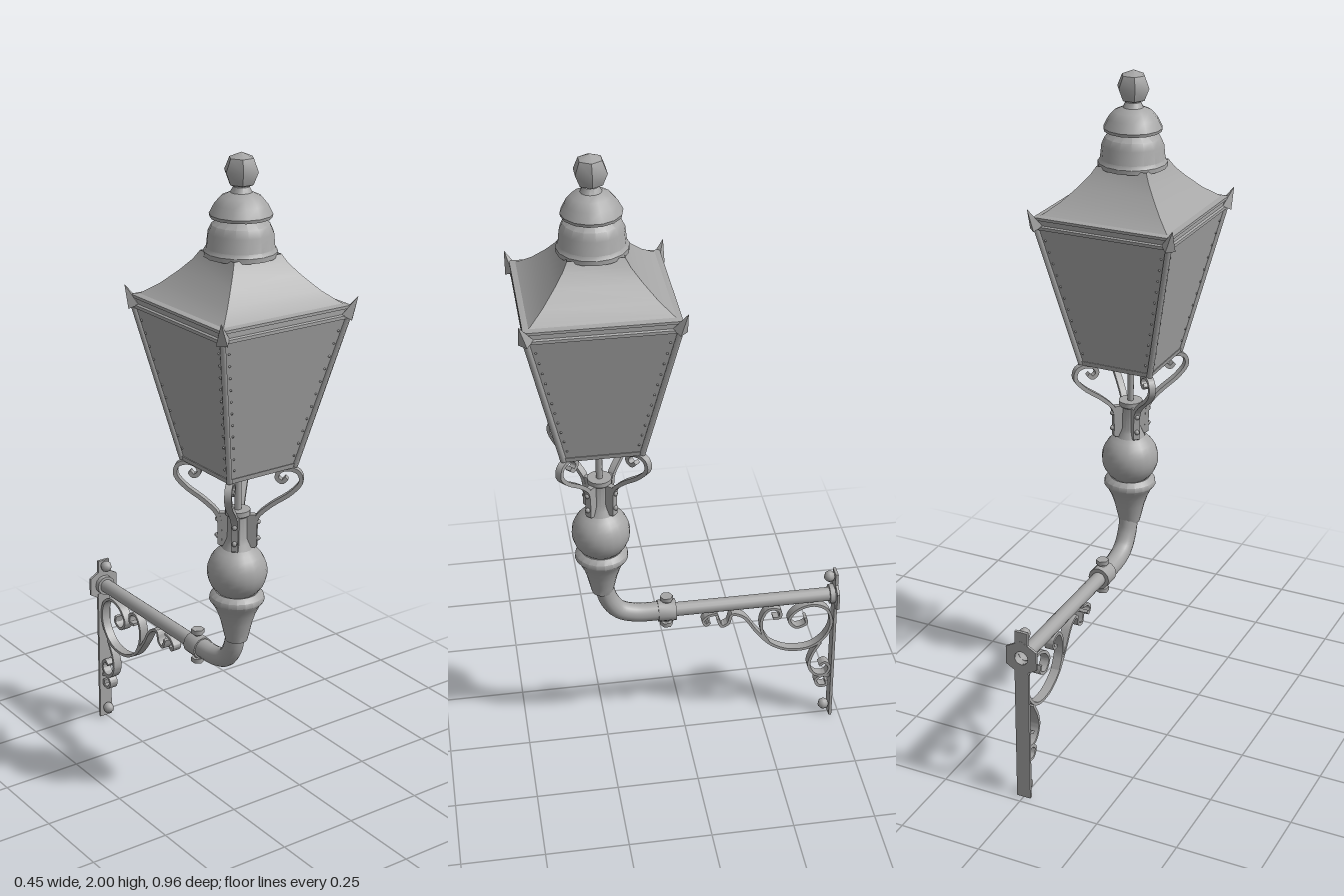
import * as THREE from 'three';
import { mergeGeometries, toCreasedNormals } from 'three/addons/utils/BufferGeometryUtils.js';

const iron = new THREE.MeshStandardMaterial({ color: 0xa6a6a6, side: THREE.DoubleSide });
iron.name = 'greyIron';

const V = (x, y, z) => new THREE.Vector3(x, y, z);

function add(parent, name, geo, x = 0, y = 0, z = 0) {
  const m = new THREE.Mesh(geo, iron);
  m.name = name;
  m.position.set(x, y, z);
  parent.add(m);
  return m;
}

// Turned part from [radius, height] pairs
function turned(points, sides = 20, crease = 0.6) {
  const g = new THREE.LatheGeometry(points.map(p => new THREE.Vector2(p[0], p[1])), sides);
  return toCreasedNormals(g, crease);
}

// Four-sided part from [half width, height] pairs
function square(points) {
  const g = turned(points.map(([h, y]) => [h * Math.SQRT2, y]), 4, 0.4);
  return g.rotateY(Math.PI / 4);
}

// Straight bar between two points
function bar(a, b, r, sides = 8) {
  const d = b.clone().sub(a);
  const g = new THREE.CylinderGeometry(r, r, d.length(), sides);
  g.applyQuaternion(new THREE.Quaternion().setFromUnitVectors(V(0, 1, 0), d.normalize()));
  const mid = a.clone().add(b).multiplyScalar(0.5);
  return g.translate(mid.x, mid.y, mid.z);
}

// Flat iron strip bent along a planar curve
function strip(points, thick, width, steps = 40) {
  const curve = new THREE.CatmullRomCurve3(points.map(p => V(p[0], p[1], 0)));
  const left = [], right = [];
  for (let i = 0; i <= steps; i++) {
    const p = curve.getPoint(i / steps), t = curve.getTangent(i / steps);
    const nx = -t.y * thick / 2, ny = t.x * thick / 2;
    left.push(new THREE.Vector2(p.x + nx, p.y + ny));
    right.unshift(new THREE.Vector2(p.x - nx, p.y - ny));
  }
  const g = new THREE.ExtrudeGeometry(new THREE.Shape([...left, ...right]), { depth: width, bevelEnabled: false });
  return toCreasedNormals(g.translate(0, 0, -width / 2), 0.6);
}

function buildLantern() {
  const g = new THREE.Group();
  g.name = 'lantern';
  const lo = 0.112, hi = 0.207, y0 = 1.125, y1 = 1.565;

  // Finial and vented cap
  const finial = new THREE.SphereGeometry(0.05, 6, 4);
  add(g, 'finial', toCreasedNormals(finial, 0.7), 0, 1.95, 0);
  add(g, 'upperCap', turned([[0, 1.91], [0.022, 1.908], [0.03, 1.893], [0.055, 1.882], [0.072, 1.862],
    [0.086, 1.835], [0.084, 1.826], [0.055, 1.826]], 14));
  add(g, 'lowerCap', turned([[0.055, 1.83], [0.06, 1.82], [0.08, 1.807], [0.09, 1.785], [0.094, 1.745],
    [0.101, 1.735], [0.101, 1.722], [0.075, 1.718]], 16));

  // Flared roof and glazing
  add(g, 'roof', square([[0.213, 1.592], [0.19, 1.606], [0.155, 1.634], [0.118, 1.673], [0.092, 1.705], [0.078, 1.73]]));
  add(g, 'panes', square([[lo, y0], [hi, y1]]));
  add(g, 'eaves', square([[0.195, 1.562], [0.213, 1.562], [0.213, 1.571], [0.207, 1.574], [0.207, 1.588],
    [0.214, 1.59], [0.214, 1.598], [0.195, 1.602]]));
  add(g, 'bottomFrame', square([[0.09, 1.122], [0.115, 1.122], [0.118, 1.136], [0.09, 1.13], [0.09, 1.122]]));
  add(g, 'bottomBar', new THREE.BoxGeometry(0.21, 0.008, 0.02), 0, 1.126, 0);

  // Corner strips, rivets and horns
  const rivets = [];
  for (let k = 0; k < 4; k++) {
    const corner = new THREE.Group();
    corner.name = 'corner';
    corner.rotation.y = k * Math.PI / 2;
    g.add(corner);
    add(corner, 'cornerStrip', bar(V(lo, y0, lo), V(hi, y1, hi), 0.009, 6));
    const horn = new THREE.ConeGeometry(0.022, 0.065, 4).translate(0, 0.0325, 0);
    const h = add(corner, 'horn', toCreasedNormals(horn, 0.3), 0.206, 1.566, 0.206);
    h.quaternion.setFromUnitVectors(V(0, 1, 0), V(0.34, 1, 0.34).normalize());
    for (let i = 1; i < 12; i++) {
      const t = i / 12, w = lo + (hi - lo) * t;
      for (const s of [-1, 1]) {
        const r = new THREE.SphereGeometry(0.0035, 5, 4);
        r.translate(s * (w - 0.018), y0 + (y1 - y0) * t, w + 0.001);
        rivets.push(r.rotateY(k * Math.PI / 2));
      }
    }
  }
  add(g, 'rivets', mergeGeometries(rivets));
  return g;
}

function buildPost() {
  const g = new THREE.Group();
  g.name = 'post';
  add(g, 'centreRod', bar(V(0, 0.97, 0), V(0, 1.16, 0), 0.01));
  add(g, 'socket', turned([[0, 0.985], [0.036, 0.985], [0.036, 0.97], [0.03, 0.965], [0.03, 0.9], [0.036, 0.885], [0.045, 0.865]]));

  // Ball, collar and flared stem
  const knob = [[0.045, 0.868]];
  for (let i = 1; i <= 10; i++) {
    const a = 0.55 + i * 0.19;
    knob.push([0.087 * Math.sin(a), 0.795 + 0.085 * Math.cos(a)]);
  }
  add(g, 'ballAndStem', turned([...knob, [0.062, 0.732], [0.078, 0.72], [0.08, 0.706], [0.068, 0.69], [0.056, 0.665],
    [0.046, 0.635], [0.038, 0.6], [0.032, 0.575]], 20, 0.8));

  // Four scrolled arms on the diagonals
  const path = [[0.05, 0.875], [0.05, 0.92], [0.056, 0.965], [0.095, 1.005], [0.15, 1.045], [0.178, 1.08],
    [0.172, 1.108], [0.145, 1.118], [0.118, 1.11], [0.11, 1.09], [0.125, 1.078], [0.138, 1.09]];
  for (let k = 0; k < 4; k++) {
    const arm = new THREE.Group();
    arm.name = 'arm';
    arm.rotation.y = Math.PI / 4 + k * Math.PI / 2;
    add(arm, 'armScroll', strip(path, 0.012, 0.02));
    add(arm, 'armFoot', new THREE.BoxGeometry(0.03, 0.1, 0.018), 0.037, 0.922, 0);
    for (const y of [0.9, 0.95]) add(arm, 'armBolt', new THREE.SphereGeometry(0.008, 6, 5), 0.058, y, 0);
    g.add(arm);
  }
  return g;
}

function buildBracket() {
  const g = new THREE.Group();
  g.name = 'wallBracket';

  // Swept elbow and horizontal pipe
  const bend = new THREE.CatmullRomCurve3([V(0, 0.63, 0.255), V(0, 0.59, 0.248), V(0, 0.54, 0.235),
    V(0, 0.498, 0.205), V(0, 0.479, 0.155), V(0, 0.475, 0.06)]);
  add(g, 'elbow', new THREE.TubeGeometry(bend, 24, 0.029, 14));
  const pipe = new THREE.CylinderGeometry(0.022, 0.022, 0.53, 14, 1, true).rotateX(Math.PI / 2);
  add(g, 'pipe', pipe, 0, 0.475, -0.205);

  // Clamp collar with bolts
  const collar = new THREE.CylinderGeometry(0.034, 0.034, 0.055, 12).rotateX(Math.PI / 2);
  add(g, 'collar', toCreasedNormals(collar, 0.6), 0, 0.475, 0.058);
  for (const s of [-1, 1]) {
    add(g, 'collarBoltShank', new THREE.CylinderGeometry(0.01, 0.01, 0.03, 6), 0, 0.475 + s * 0.036, 0.058);
    add(g, 'collarBolt', new THREE.CylinderGeometry(0.02, 0.02, 0.014, 6), 0, 0.475 + s * 0.047, 0.058);
  }

  // Hexagonal end plate with a hole, and its ring
  const hex = new THREE.Shape(), hole = new THREE.Path();
  for (let i = 0; i < 6; i++) {
    const a = Math.PI / 6 + i * Math.PI / 3;
    hex[i ? 'lineTo' : 'moveTo'](0.056 * Math.cos(a), 0.056 * Math.sin(a));
  }
  hole.absarc(0, 0, 0.021, 0, Math.PI * 2, true);
  hex.holes.push(hole);
  add(g, 'endPlate', new THREE.ExtrudeGeometry(hex, { depth: 0.008, bevelEnabled: false }), 0, 0.475, -0.476);
  const ring = new THREE.LatheGeometry([[0.021, 0], [0.031, 0], [0.031, 0.02], [0.021, 0.02]]
    .map(p => new THREE.Vector2(...p)), 12);
  add(g, 'endRing', toCreasedNormals(ring.rotateX(Math.PI / 2), 0.6), 0, 0.475, -0.472);

  // Wall strip, in two lengths around the pipe end, with bolts
  add(g, 'wallStrip', new THREE.BoxGeometry(0.044, 0.445, 0.009), 0, 0.2225, -0.471);
  add(g, 'wallStripTop', new THREE.BoxGeometry(0.04, 0.055, 0.009), 0, 0.532, -0.471);
  for (const y of [0.033, 0.543]) {
    const head = new THREE.SphereGeometry(0.018, 8, 6);
    add(g, 'wallBolt', head, 0, y, -0.452);
  }

  // Wrought scrollwork
  const scrolls = [
    [[-0.075, 0.42], [-0.065, 0.41], [-0.055, 0.425], [-0.07, 0.443], [-0.1, 0.45]],
    [[-0.1, 0.43], [-0.113, 0.4], [-0.133, 0.408], [-0.145, 0.44], [-0.18, 0.428], [-0.22, 0.37], [-0.27, 0.31],
      [-0.33, 0.28], [-0.4, 0.283], [-0.445, 0.32], [-0.462, 0.37], [-0.445, 0.425], [-0.4, 0.446], [-0.35, 0.43],
      [-0.327, 0.395], [-0.35, 0.366], [-0.382, 0.378], [-0.378, 0.4]],
    [[-0.262, 0.318], [-0.242, 0.36], [-0.24, 0.41], [-0.262, 0.445], [-0.295, 0.438], [-0.297, 0.412], [-0.275, 0.41]],
    [[-0.43, 0.295], [-0.405, 0.25], [-0.396, 0.205], [-0.418, 0.168], [-0.45, 0.165], [-0.463, 0.19],
      [-0.448, 0.212], [-0.43, 0.202]],
    [[-0.464, 0.155], [-0.44, 0.16], [-0.42, 0.143], [-0.432, 0.12], [-0.456, 0.122], [-0.455, 0.14]],
  ];
  for (const s of scrolls) add(g, 'scroll', strip(s, 0.009, 0.028, s.length * 5).rotateY(-Math.PI / 2));
  return g;
}

export function createModel() {
  const model = new THREE.Group();
  model.name = 'wallLantern';
  const lantern = buildLantern(), post = buildPost();
  lantern.position.z = post.position.z = 0.253;
  model.add(lantern, post, buildBracket());
  return model;
}
